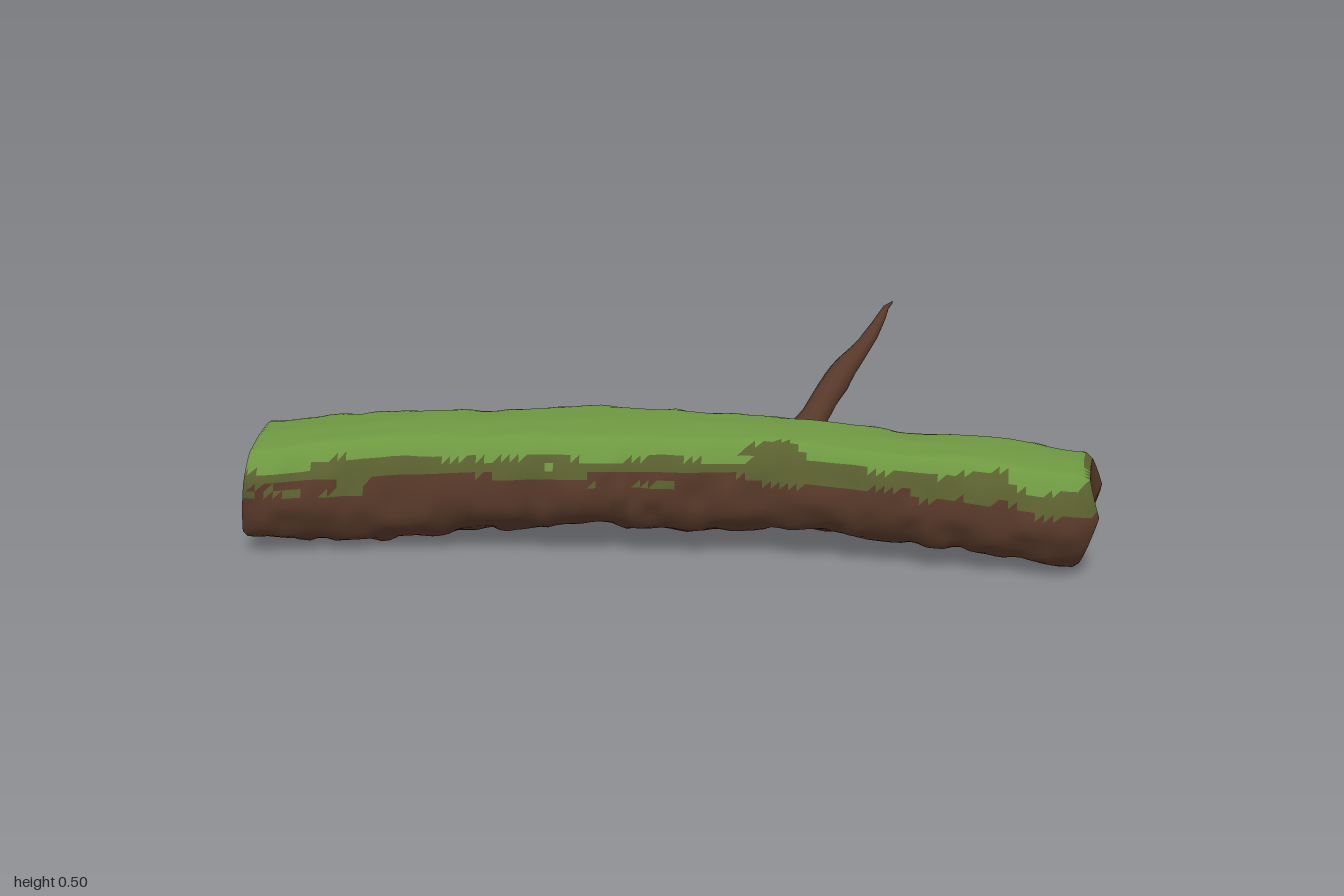
import * as THREE from 'three';

// Seeded hash and smooth 2D value noise (second axis wraps around the trunk)
const hash = (i, j) => {
  const s = Math.sin(i * 127.1 + j * 311.7 + 5.3) * 43758.5453;
  return s - Math.floor(s);
};
function noise(u, v, wrap) {
  const i = Math.floor(u), j = Math.floor(v);
  const f = u - i, g = v - j;
  const h = (a, b) => hash(a, ((b % wrap) + wrap) % wrap);
  const k = f * f * (3 - 2 * f), l = g * g * (3 - 2 * g);
  return THREE.MathUtils.lerp(
    THREE.MathUtils.lerp(h(i, j), h(i + 1, j), k),
    THREE.MathUtils.lerp(h(i, j + 1), h(i + 1, j + 1), k), l);
}

// Piecewise smooth lookup through [x, value] pairs
function profile(points) {
  return (x) => {
    let n = 0;
    while (n < points.length - 2 && x > points[n + 1][0]) n++;
    const [a, b] = [points[n], points[n + 1]];
    return THREE.MathUtils.lerp(a[1], b[1], THREE.MathUtils.smoothstep(x, a[0], b[0]));
  };
}
const topY = profile([[-1, 0.273], [-0.6, 0.297], [-0.3, 0.311], [0, 0.316], [0.3, 0.311], [0.6, 0.298], [1, 0.27]]);
const bottomY = profile([[-1, 0.02], [-0.7, -0.004], [-0.4, 0.035], [-0.2, 0.052], [0.05, 0.045], [0.3, 0.06], [0.55, 0.045], [0.8, 0.02], [1, -0.002]]);
const frontZ = profile([[-0.96, 0.306], [-0.8, 0.27], [-0.6, 0.24], [-0.2, 0.24], [0, 0.222], [0.2, 0.198], [0.4, 0.214], [0.6, 0.225], [0.85, 0.237], [1, 0.226]]);
const backZ = profile([[-1, -0.01], [-0.8, -0.035], [-0.6, -0.056], [-0.4, -0.058], [-0.18, -0.092], [0, -0.068], [0.2, -0.055], [0.42, -0.035], [0.6, -0.025], [0.8, -0.045], [1, -0.012]]);

// Skin closed rings of points; pick(point) chooses the material of each face
function loft(rings, pick) {
  const n = rings[0].length;
  const lists = [[], [], []];
  const flat = rings.flat();
  const addFace = (...ids) => {
    const c = new THREE.Vector3();
    ids.forEach((id) => c.addScaledVector(flat[id], 1 / 3));
    lists[pick(c)].push(...ids);
  };
  for (let i = 0; i < rings.length - 1; i++) {
    for (let j = 0; j < n; j++) {
      const a = i * n + j, d = i * n + (j + 1) % n;
      addFace(a, a + n, d + n);
      addFace(a, d + n, d);
    }
  }
  const geo = new THREE.BufferGeometry().setFromPoints(flat);
  geo.setIndex(lists.flat());
  let start = 0;
  lists.forEach((list, m) => {
    if (list.length) geo.addGroup(start, list.length, m);
    start += list.length;
  });
  geo.computeVertexNormals();
  return geo;
}

// Fan that closes the first or the last ring of a loft
function capGeometry(ring, isLast) {
  const n = ring.length;
  const centre = new THREE.Vector3();
  ring.forEach((p) => centre.addScaledVector(p, 1 / n));
  const index = [];
  for (let j = 0; j < n; j++) {
    const k = (j + 1) % n;
    index.push(n, isLast ? k : j, isLast ? j : k);
  }
  const geo = new THREE.BufferGeometry().setFromPoints([...ring, centre]);
  geo.setIndex(index);
  geo.computeVertexNormals();
  return geo;
}

// One uneven, flat-topped section of the trunk
const SIDES = 48;
function trunkRing(s, scale = 1) {
  const top = topY(s), bottom = bottomY(s), front = frontZ(s), back = backZ(s);
  const cy = (top + bottom) / 2, cz = (front + back) / 2;
  const ry = (top - bottom) / 2, rz = (front - back) / 2;
  const ring = [];
  for (let j = 0; j < SIDES; j++) {
    const a = (j / SIDES) * Math.PI * 2;
    const side = Math.min(1, 1.25 - Math.sin(a));
    const bump = 1.06 - side * (0.1 * noise(s * 13, j / 6, 8) + 0.11 * noise(s * 28 + 40, j / 3, 16));
    const up = Math.sin(a) * bump * (Math.sin(a) > 0 ? 1.16 : 1);
    const crown = 1 - 0.14 * Math.abs(Math.cos(a)) * noise(s * 9 + 20, j / 6, 8);
    const y = Math.max(0, cy + ry * Math.min(crown, up) * scale);
    const z = cz + rz * Math.cos(a) * bump * scale;
    // slanted, slightly ragged saw cuts
    const t = (y - bottom) / (top - bottom);
    const cut = s < 0 ? -0.025 + 0.03 * t : 0.026 - 0.08 * Math.abs(t - 0.62) - 0.06 * z;
    ring.push(new THREE.Vector3(s + cut * Math.pow(Math.abs(s) / 0.98, 10), y, z));
  }
  return ring;
}

export function createModel() {
  const bark = new THREE.MeshStandardMaterial({ color: 0x573929 });
  const darkMoss = new THREE.MeshStandardMaterial({ color: 0x5b6030 });
  const moss = new THREE.MeshStandardMaterial({ color: 0x6e9841 });
  bark.name = 'bark';
  darkMoss.name = 'darkMoss';
  moss.name = 'moss';
  const group = new THREE.Group();
  group.name = 'mossyLog';
  const add = (name, geo, material) => {
    const mesh = new THREE.Mesh(geo, material);
    mesh.name = name;
    group.add(mesh);
  };

  // Trunk with rounded rims; moss follows height with a ragged border
  const rings = [trunkRing(-0.978, 0.95)];
  const steps = 96;
  for (let i = 0; i <= steps; i++) rings.push(trunkRing(-0.97 + (1.94 * i) / steps));
  rings.push(trunkRing(0.984, 0.9));
  const mossAt = (p) => {
    const t = (p.y - bottomY(p.x)) / (topY(p.x) - bottomY(p.x));
    const face = p.z > 0.09 ? 0 : 50;
    const rag = 0.26 * (noise(p.x * 8 + 70, p.y * 30 + face, 100) - 0.5)
      + 0.12 * (noise(p.x * 22, p.y * 60 + face, 100) - 0.5);
    const rim = p.x > 0.965;
    return t > 0.84 + rag && !rim ? 2 : t > 0.65 + rag * 0.7 ? 1 : 0;
  };
  add('trunk', loft(rings, mossAt), [bark, darkMoss, moss]);
  add('rightCutEnd', capGeometry(rings[0], false), bark);
  add('leftCutEnd', capGeometry(rings[rings.length - 1], true), bark);

  // Crooked, tapering branch at the back
  const path = new THREE.CatmullRomCurve3([
    [0.28, 0.235, 0.02], [0.325, 0.285, -0.052], [0.378, 0.36, -0.14],
    [0.43, 0.412, -0.21], [0.466, 0.462, -0.26], [0.482, 0.49, -0.282], [0.496, 0.497, -0.302],
  ].map((p) => new THREE.Vector3(...p)));
  const radius = profile([[0, 0.046], [0.25, 0.035], [0.5, 0.03], [0.75, 0.019], [0.9, 0.011], [1, 0.002]]);
  const branch = [];
  for (let i = 0; i <= 18; i++) {
    const u = i / 18;
    const centre = path.getPointAt(u), dir = path.getTangentAt(u);
    const right = new THREE.Vector3(0, 1, 0).cross(dir).normalize();
    const up = right.clone().cross(dir);
    branch.push(Array.from({ length: 10 }, (_, j) => {
      const a = (j / 10) * Math.PI * 2;
      const r = radius(u) * (0.86 + 0.26 * noise(u * 9, j / 2, 5));
      return centre.clone().addScaledVector(right, Math.cos(a) * r).addScaledVector(up, Math.sin(a) * r);
    }));
  }
  add('branch', loft(branch, () => 0), [bark]);
  add('branchTip', capGeometry(branch[18], true), bark);
  return group;
}
